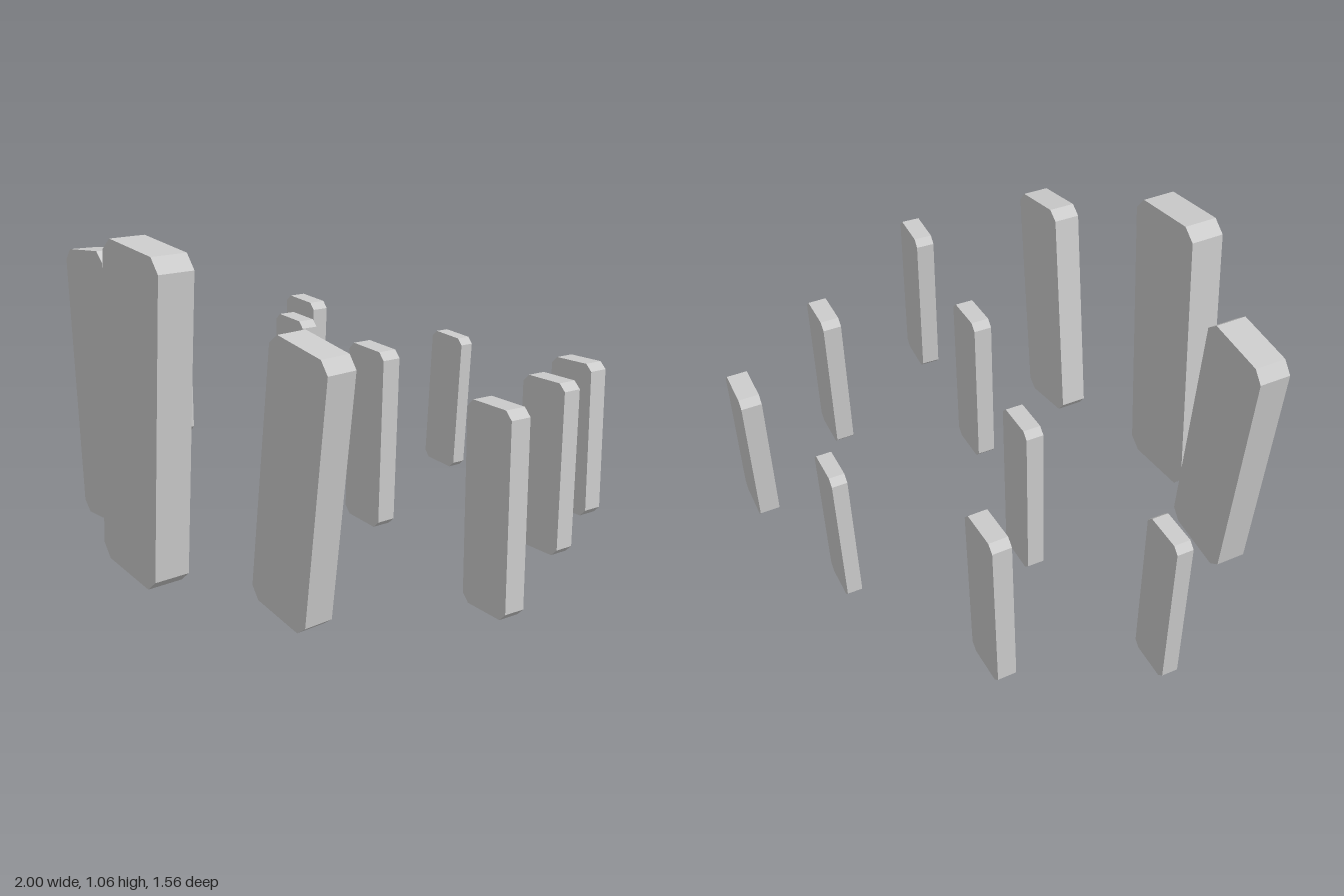
import * as THREE from 'three';

// Standing slab: rectangle with clipped corners, extruded through its depth
function slabGeometry(w, h, d) {
  const x = w / 2, y = h / 2, c = w * 0.13;
  const outline = [
    [-x + c, -y], [x - c, -y], [x, -y + c], [x, y - c],
    [x - c, y], [-x + c, y], [-x, y - c], [-x, -y + c],
  ].map(([px, py]) => new THREE.Vector2(px, py));
  const geo = new THREE.ExtrudeGeometry(new THREE.Shape(outline), { depth: d, bevelEnabled: false });
  geo.translate(0, 0, -d / 2);
  return geo;
}

// name, centre [x, y, z], size [width, height, depth], lean [x, y, z]
const SLABS = [
  // Three tall slabs at the front
  ['tallSlabRight', [-0.51, 0.481, 0.597], [0.28, 0.92, 0.104], [-0.036, 0, 0.12]],
  ['tallSlabMiddle', [0, 0.533, 0.711], [0.323, 1.046, 0.118], [-0.014, 0.04, -0.074]],
  ['tallSlabLeft', [0.547, 0.44, 0.52], [0.262, 0.84, 0.095], [0, 0.04, -0.138]],
  // Middle row
  ['smallSlab1', [-0.914, 0.396, 0.113], [0.155, 0.56, 0.052], [-0.02, 0, 0.025]],
  ['smallSlab2', [-0.301, 0.379, -0.031], [0.165, 0.58, 0.058], [-0.02, 0, -0.018]],
  ['smallSlab3', [0.26, 0.41, 0.053], [0.175, 0.58, 0.062], [-0.015, 0, -0.015]],
  ['smallSlab4', [0.896, 0.387, 0.11], [0.182, 0.602, 0.066], [-0.02, -0.04, 0.035]],
  // Back rows
  ['smallSlab5', [-0.657, 0.347, -0.318], [0.177, 0.566, 0.062], [-0.02, 0.02, -0.035]],
  ['smallSlab6', [0.631, 0.331, -0.362], [0.178, 0.56, 0.065], [-0.03, 0, 0.033]],
  ['smallSlab7', [-0.128, 0.305, -0.607], [0.162, 0.5, 0.05], [-0.025, 0, -0.03]],
  ['smallSlab8', [0.403, 0.285, -0.733], [0.182, 0.54, 0.07], [-0.03, 0, 0.05]],
];

export function createModel() {
  const group = new THREE.Group();
  group.name = 'standingSlabs';
  const stone = new THREE.MeshStandardMaterial({ color: 0xcccccc, flatShading: true });
  for (const [name, centre, size, lean] of SLABS) {
    const slab = new THREE.Mesh(slabGeometry(...size), stone);
    slab.name = name;
    slab.position.set(...centre);
    slab.rotation.set(...lean, 'YXZ');
    group.add(slab);
  }
  return group;
}
